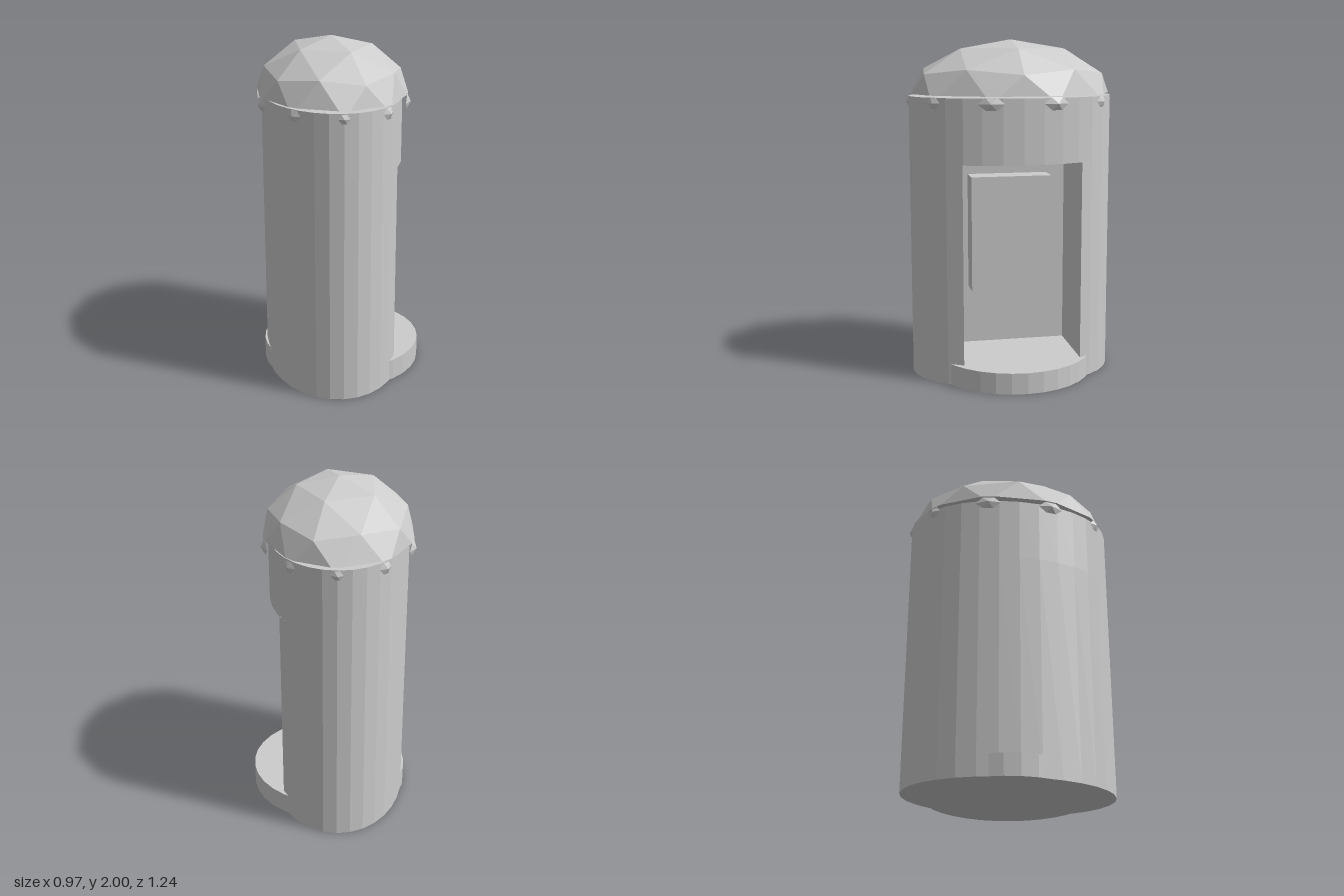
import * as THREE from 'three';
import { ConvexGeometry } from 'three/addons/geometries/ConvexGeometry.js';

const CX = -0.055;                       // axis of the oval booth
const RX = 0.405, RZ = 0.605;            // booth radii
const DOME = { x: 0.455, y: 0.355, z: 0.62, base: 1.645 };
const RIM = 1.687;                       // underside of the dome
const rad = THREE.MathUtils.degToRad;

export function createModel() {
  const group = new THREE.Group();
  const material = new THREE.MeshStandardMaterial({ color: 0xcccccc, flatShading: true });

  function add(name, geometry, parent = group) {
    const mesh = new THREE.Mesh(geometry, material);
    mesh.name = name;
    parent.add(mesh);
    return mesh;
  }

  // Upright prism from a floor plan, plan y pointing to -z
  function prism(points, y0, y1) {
    const geometry = new THREE.ExtrudeGeometry(new THREE.Shape(points), { depth: y1 - y0, bevelEnabled: false });
    return geometry.rotateX(-Math.PI / 2).translate(0, y0, 0);
  }

  // Oval body: notched below for the doorway, whole above it
  const plan = (a) => new THREE.Vector2(CX + RX * Math.cos(a), RZ * Math.sin(a));
  const oval = Array.from({ length: 32 }, (_, i) => plan((i * Math.PI) / 16));
  const back = -0.16, edgeA = 0.36, edgeB = -0.34;
  const notched = [
    new THREE.Vector2(back, edgeA),
    plan(Math.asin(edgeA / RZ)),
    ...oval.filter((p) => !(p.x > back && p.y < edgeA && p.y > edgeB)),
    plan(Math.asin(edgeB / RZ)),
    new THREE.Vector2(back, edgeB),
  ];
  add('boothWalls', prism(notched, 0, 1.3));
  add('boothTop', prism(oval, 1.3, 1.675));

  // Round doorstep that is also the floor
  add('doorstep', new THREE.CylinderGeometry(0.477, 0.477, 0.125, 32).rotateY(Math.PI / 2).translate(0.003, 0.0625, 0));

  // Cabinet on the back wall inside
  add('innerCabinet', new THREE.BoxGeometry(0.153, 0.7, 0.49).translate(-0.0835, 0.84, 0));

  // Faceted dome: upper part of a subdivided icosahedron, cut flat at the rim
  const onDome = (lat, lon) => new THREE.Vector3(
    CX + DOME.x * Math.cos(rad(lat)) * Math.cos(rad(lon)),
    DOME.base + DOME.y * Math.sin(rad(lat)),
    DOME.z * Math.cos(rad(lat)) * Math.sin(rad(lon)));
  const domePoints = [onDome(90, 0)];
  for (let i = 0; i < 5; i++) {
    const lon = i * 72;
    const corner = onDome(26.565, lon), middle = onDome(31.717, lon + 36);
    domePoints.push(onDome(58.283, lon), corner, middle);
    for (const [upper, centre] of [[corner, lon], [middle, lon + 36]]) {
      for (const side of [-18, 18]) {
        const lower = onDome(0, centre + side);
        const t = (RIM - lower.y) / (upper.y - lower.y);
        domePoints.push(lower.lerp(upper, t));
      }
    }
  }
  add('dome', new ConvexGeometry(domePoints));

  // Small pointed studs under the rim
  const studs = new THREE.Group();
  studs.name = 'rimStuds';
  group.add(studs);
  for (let i = 0; i < 10; i++) {
    const lon = 18 + i * 36;
    const sideways = Math.abs(Math.cos(rad(lon)));
    const half = 0.077 + 0.06 * sideways ** 3;
    const high = 0.025 + 0.012 * sideways;
    const ring = [[-1, 0], [-0.45, 1], [0.45, 1], [1, 0], [0.4, -1], [-0.4, -1]].map(([u, v]) => {
      const a = rad(lon) + u * half;
      return new THREE.Vector3(CX + 0.434 * Math.cos(a), DOME.base + v * high, 0.607 * Math.sin(a));
    });
    add('rimStud', new ConvexGeometry([onDome(0, lon), ...ring]), studs);
  }
  return group;
}
